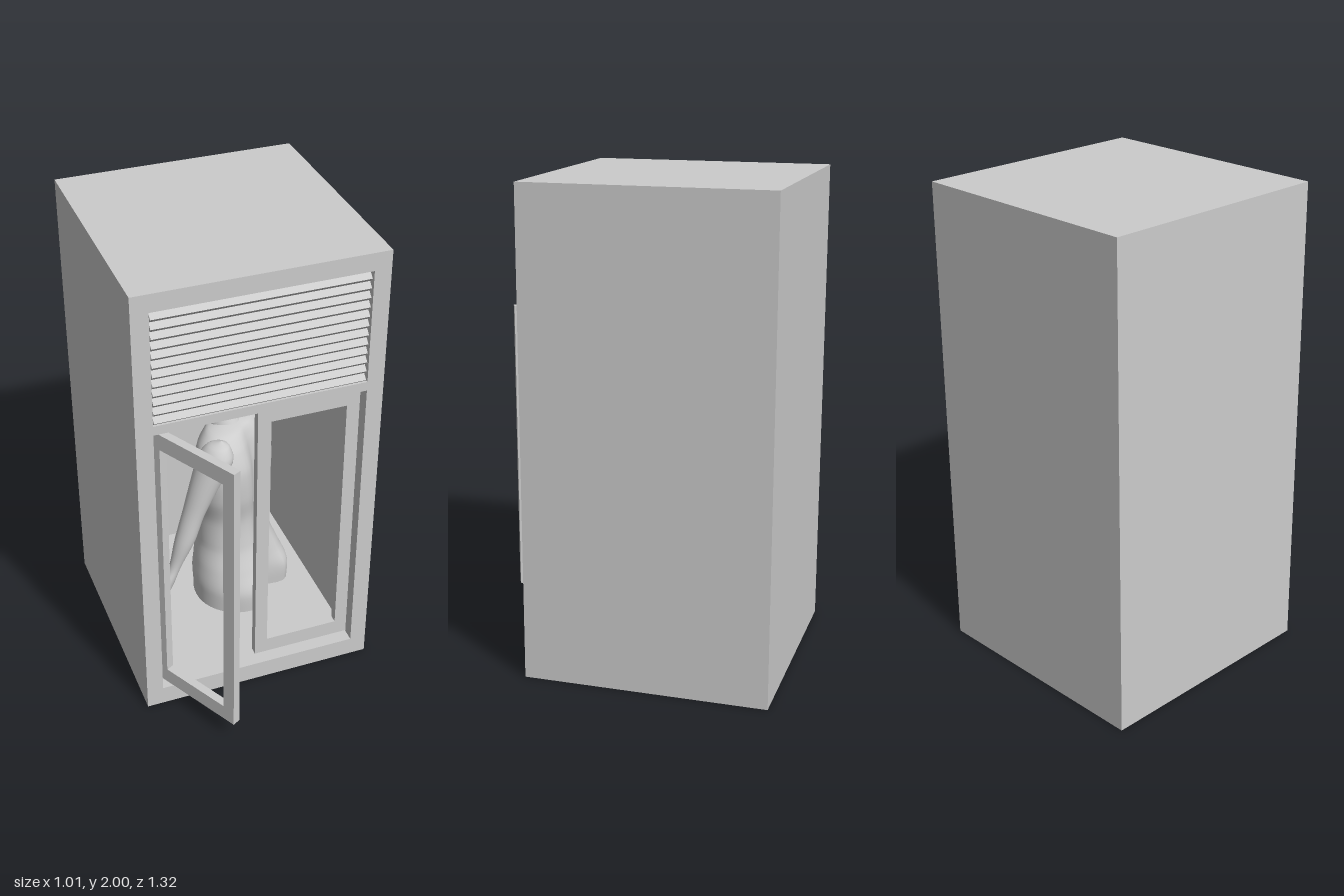
import * as THREE from 'three';

const grey = new THREE.MeshStandardMaterial({ color: 0xcccccc });
grey.name = 'plain grey';

function add(parent, name, geometry) {
  const mesh = new THREE.Mesh(geometry, grey);
  mesh.name = name;
  parent.add(mesh);
  return mesh;
}

// Box given by its lowest and highest corners
function block(parent, name, a, b) {
  const geo = new THREE.BoxGeometry(b[0] - a[0], b[1] - a[1], b[2] - a[2]);
  geo.translate((a[0] + b[0]) / 2, (a[1] + b[1]) / 2, (a[2] + b[2]) / 2);
  return add(parent, name, geo);
}

// Rectangle outline as a shape or a hole
function rect(path, x0, y0, x1, y1) {
  path.moveTo(x0, y0);
  path.lineTo(x1, y0);
  path.lineTo(x1, y1);
  path.lineTo(x0, y1);
  path.closePath();
  return path;
}

// Door leaf with an open window, hinged at x = 0 and with its face at z = 0
function doorGeometry() {
  const shape = rect(new THREE.Shape(), 0, 0.1, 0.43, 1.385);
  shape.holes.push(rect(new THREE.Path(), 0.055, 0.17, 0.375, 1.315));
  const geo = new THREE.ExtrudeGeometry(shape, { depth: 0.035, bevelEnabled: false });
  return geo.translate(0, 0, -0.035);
}

// Smooth body part from level sections [y, x, z, halfWidth, halfDepth, backGroove]
function loft(sections, sides = 36, rows = 40) {
  const centre = new THREE.CatmullRomCurve3(sections.map(s => new THREE.Vector3(s[1], s[0], s[2])));
  const size = new THREE.CatmullRomCurve3(sections.map(s => new THREE.Vector3(s[3], s[4], s[5] || 0)));
  const geo = new THREE.CylinderGeometry(1, 1, 1, sides, rows, true);
  const pos = geo.attributes.position;
  for (let i = 0; i < pos.count; i++) {
    const t = pos.getY(i) + 0.5;
    const c = centre.getPoint(t), s = size.getPoint(t);
    const sx = pos.getX(i), sz = pos.getZ(i);
    const groove = sz < 0 ? s.z * Math.exp(-((sx / 0.28) ** 2)) : 0;
    pos.setXYZ(i, c.x + sx * Math.max(s.x, 0), c.y, c.z + sz * Math.max(s.y, 0) + groove);
  }
  geo.computeVertexNormals();
  return geo;
}

function makeFigure() {
  const figure = new THREE.Group();
  figure.name = 'figure';
  // Hips, waist, back and shoulders
  add(figure, 'torso', loft([
    [0.07, 0, 0, 0.235, 0.21, 0.10],
    [0.17, 0, 0, 0.235, 0.215, 0.10],
    [0.27, 0, 0.02, 0.215, 0.19, 0.06],
    [0.38, 0, 0.04, 0.185, 0.165, 0.03],
    [0.52, 0, 0.05, 0.18, 0.155, 0.035],
    [0.66, 0, 0.04, 0.21, 0.155, 0.045],
    [0.80, 0, 0.04, 0.225, 0.15, 0.05],
    [0.90, 0, 0.05, 0.205, 0.12, 0.03],
    [0.96, 0, 0.06, 0.13, 0.08, 0.01],
    [0.985, 0, 0.07, 0.0, 0.0, 0],
  ], 48, 60));
  add(figure, 'neck', loft([
    [0.88, 0, 0.05, 0.09, 0.09],
    [0.97, 0, 0.09, 0.068, 0.075],
    [1.08, 0, 0.15, 0.065, 0.07],
  ], 24, 12));
  // Bowed head
  add(figure, 'head', loft([
    [0.875, 0, 0.25, 0.0, 0.0],
    [0.89, 0, 0.25, 0.042, 0.04],
    [0.95, 0, 0.23, 0.075, 0.085],
    [1.03, 0, 0.205, 0.09, 0.115],
    [1.12, 0, 0.19, 0.1, 0.13],
    [1.19, 0, 0.18, 0.092, 0.12],
    [1.24, 0, 0.17, 0.06, 0.08],
    [1.258, 0, 0.165, 0.0, 0.0],
  ]));
  const nose = add(figure, 'nose', new THREE.SphereGeometry(1, 16, 12));
  nose.scale.set(0.018, 0.04, 0.025);
  nose.position.set(0, 1.02, 0.318);
  for (const side of [1, -1]) {
    const ear = add(figure, 'ear', new THREE.SphereGeometry(1, 16, 12));
    ear.scale.set(0.016, 0.045, 0.026);
    ear.position.set(side * 0.097, 1.07, 0.18);
    // Arms reach down and forwards
    const hand = side > 0 ? [0.4, 0.18] : [-0.28, 0.22];
    const at = (y, t, w, d) => [y, side * 0.165 + (hand[0] - side * 0.165) * t, 0.02 + (hand[1] - 0.02) * t, w, d];
    add(figure, 'arm', loft([
      at(0.2, 1, 0, 0),
      at(0.215, 0.98, 0.02, 0.018),
      at(0.29, 0.87, 0.036, 0.024),
      at(0.36, 0.77, 0.028, 0.026),
      at(0.5, 0.58, 0.046, 0.046),
      at(0.62, 0.44, 0.047, 0.05),
      at(0.76, 0.24, 0.062, 0.066),
      at(0.88, 0.06, 0.072, 0.08),
      at(0.945, 0, 0.045, 0.05),
      at(0.965, -0.05, 0, 0),
    ], 24));
  }
  figure.position.set(0.12, 0, -0.2);
  figure.rotation.y = -2.42; // back turned to the doors
  return figure;
}

export function createModel() {
  const model = new THREE.Group();
  model.name = 'cabinet with figure';
  const W = 0.505, IN = 0.435, B = -0.66, F = 0.345;

  // Carcass
  block(model, 'leftWall', [IN, 0, B], [W, 2, F]);
  block(model, 'rightWall', [-W, 0, B], [-IN, 2, F]);
  block(model, 'backWall', [-IN, 0, B], [IN, 2, B + 0.04]);
  block(model, 'floor', [-IN, 0, B + 0.04], [IN, 0.085, F]);
  block(model, 'roof', [-IN, 1.925, B + 0.04], [IN, 2, F]);
  block(model, 'shelf', [-IN, 1.4, B + 0.04], [IN, 1.44, F]);

  // Louvre of tilted slats
  const louvre = new THREE.Group();
  louvre.name = 'louvre';
  const count = 12, pitch = 0.485 / count;
  for (let i = 0; i < count; i++) {
    const slat = add(louvre, 'slat', new THREE.BoxGeometry(2 * IN - 0.01, 0.026, 0.06));
    slat.position.set(0, 1.44 + pitch * (i + 0.5), 0.312);
    slat.rotation.x = Math.PI / 4;
  }
  model.add(louvre);

  // One door shut, one swung open
  const shut = add(model, 'closedDoor', doorGeometry());
  shut.position.set(0, 0, 0.3);
  const open = add(model, 'openDoor', doorGeometry());
  open.position.set(-0.434, 0, 0.279);
  open.rotation.y = -THREE.MathUtils.degToRad(62);

  model.add(makeFigure());
  return model;
}
